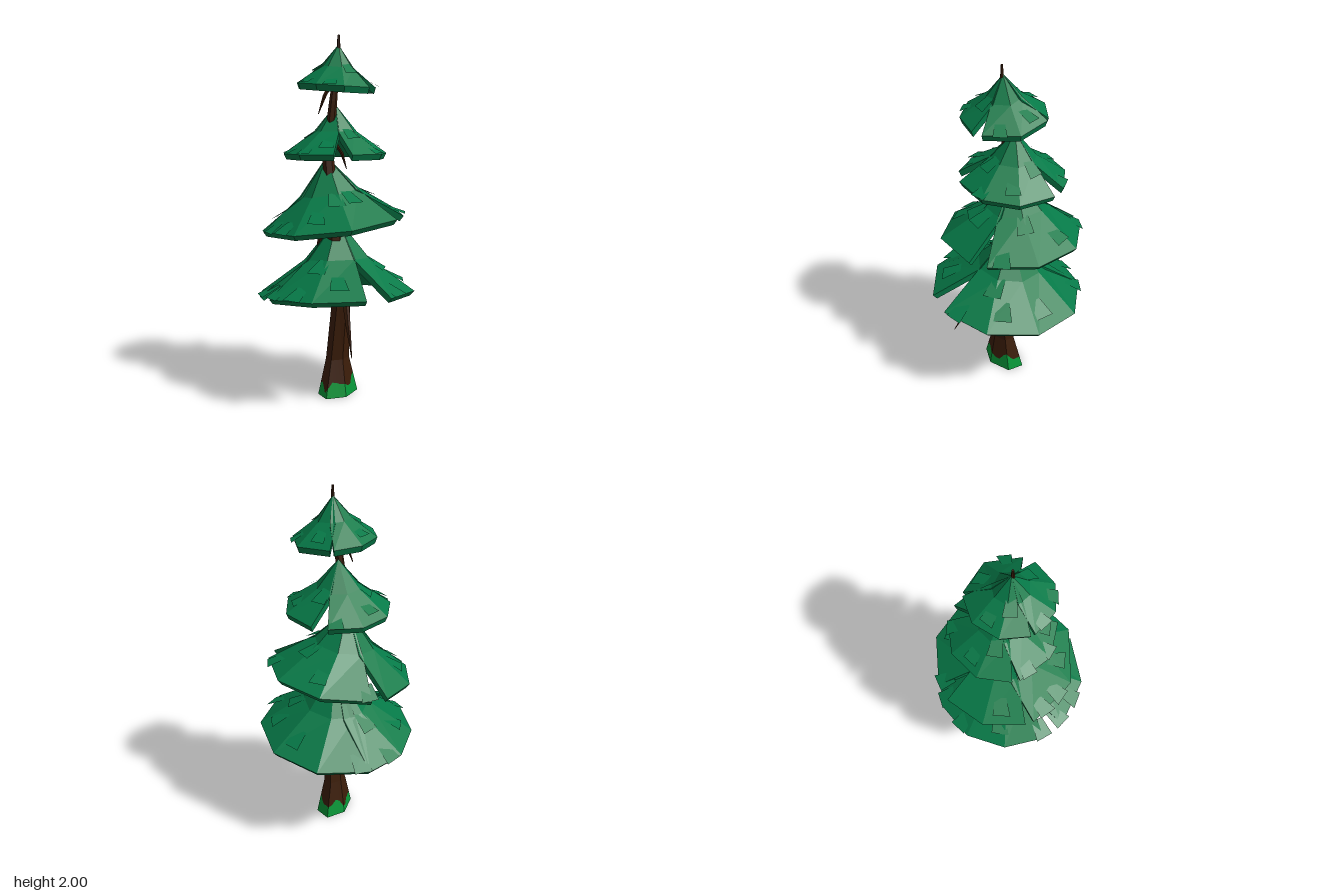
import * as THREE from 'three';

const leaf = new THREE.MeshStandardMaterial({ color: 0x067a48, side: THREE.DoubleSide });
leaf.name = 'needle green';
const bark = new THREE.MeshStandardMaterial({ color: 0x3b1d09, side: THREE.DoubleSide });
bark.name = 'bark brown';
const mossGreen = new THREE.MeshStandardMaterial({ color: 0x069638, side: THREE.DoubleSide });
mossGreen.name = 'moss green';

const V = (x, y, z) => new THREE.Vector3(x, y, z);
const rad = THREE.MathUtils.degToRad;

// Collects flat faces, skipping those that collapse to a line
class Faces {
  constructor() { this.pos = []; }
  tri(a, b, c) {
    const n = b.clone().sub(a).cross(c.clone().sub(a));
    if (n.length() > 1e-9) for (const p of [a, b, c]) this.pos.push(p.x, p.y, p.z);
  }
  quad(a, b, c, d) { this.tri(a, b, c); this.tri(a, c, d); }
  mesh(name, material) {
    const g = new THREE.BufferGeometry();
    g.setAttribute('position', new THREE.Float32BufferAttribute(this.pos, 3));
    g.computeVertexNormals();
    const m = new THREE.Mesh(g, material);
    m.name = name;
    return m;
  }
}

// Corner of a ring [x, y, z, radius, stretch along the x = -z diagonal]
const ringPoint = ([x, y, z, r, stretch = 0], i, sides) => {
  const a = (i / sides) * Math.PI * 2, c = Math.cos(a), s = Math.sin(a);
  const d = (stretch * (c - s)) / 2;
  return V(x + r * c + d, y, z + r * s - d);
};

// Faceted tapering limb through rings listed bottom to top, open below
function limb(name, rings, sides) {
  const f = new Faces();
  const last = rings[rings.length - 1];
  for (let i = 0; i < sides; i++) {
    for (let j = 0; j + 1 < rings.length; j++) {
      f.quad(ringPoint(rings[j], i, sides), ringPoint(rings[j + 1], i, sides),
        ringPoint(rings[j + 1], i + 1, sides), ringPoint(rings[j], i + 1, sides));
    }
    f.tri(V(last[0], last[1], last[2]), ringPoint(last, i + 1, sides), ringPoint(last, i, sides));
  }
  return f.mesh(name, bark);
}

const SIDES = 6;
const footRing = [0.008, 0, 0.02, 0.092, 0.045];
const trunkRings = [
  [0.005, 0.21, 0.025, 0.056, 0.02], [0.025, 0.6, 0.06, 0.05],
  [-0.015, 0.95, 0.035, 0.042], [-0.045, 1.35, -0.01, 0.032], [-0.018, 1.65, 0.012, 0.022],
  [0.01, 1.92, 0.025, 0.011], [0.01, 2, 0.025, 0.006],
];

// Flared foot of the trunk, split at a ragged line into moss and bark
function foot() {
  const moss = new Faces(), wood = new Faces();
  const per = 4, columns = SIDES * per;
  const top = trunkRings[0][1];
  const height = k => {
    const a = (k / columns) * Math.PI * 2;
    return 0.068 + 0.022 * Math.cos(4 * a) + 0.012 * Math.cos(a) + 0.012 * Math.sin(7 * a + 1);
  };
  const at = (k, y) => {
    const i = Math.floor(k / per), u = (k % per) / per;
    const edge = ring => ringPoint(ring, i, SIDES).lerp(ringPoint(ring, i + 1, SIDES), u);
    return edge(footRing).lerp(edge(trunkRings[0]), y / top);
  };
  for (let k = 0; k < columns; k++) {
    const h = height(k), next = height(k + 1);
    moss.quad(at(k, 0), at(k, h), at(k + 1, next), at(k + 1, 0));
    wood.quad(at(k, h), at(k, top), at(k + 1, top), at(k + 1, next));
  }
  return [moss.mesh('mossAtBase', mossGreen), wood.mesh('trunkFoot', bark)];
}

// Each tier: tip, rim centre and radius, tilt in x and z, lobes as [start, end, facets],
// and angles of needle tufts at the rim and higher up. Angles run from +x towards +z.
const bottomTier = {
  name: 'bottomTier', tip: [0.01, 1.0, -0.02], rim: [0, 0.59, 0.005, 0.44], tilt: [0.02, 0.1],
  lobes: [[-98, 55, 4], [75, 150, 2], [168, 262, 3]],
  rimTufts: [-92, -121, 46, 127, 150, 166], highTufts: [8, 20, 95, 118, 205, 240, -30],
};
const lowerMiddleTier = {
  name: 'lowerMiddleTier', tip: [-0.05, 1.345, -0.045], rim: [-0.012, 0.987, -0.025, 0.398], tilt: [0.12, 0],
  lobes: [[-98, 22, 3], [37, 172, 3], [179, 248, 2]],
  rimTufts: [12, 140, 160, 262], highTufts: [112, 60, 200, 85, -50, -15],
};
const upperMiddleTier = {
  name: 'upperMiddleTier', tip: [0, 1.63, -0.04], rim: [0, 1.365, -0.03, 0.288], tilt: [0, 0.03],
  lobes: [[-45, 78, 3], [98, 178, 2], [186, 297, 3]],
  rimTufts: [-70, 40, 135, 165], highTufts: [5, 60, 240, 205, 110, -40],
};
const topTier = {
  name: 'topTier', tip: [0.01, 1.95, 0.02], rim: [0.006, 1.735, 0.013, 0.225], tilt: [-0.06, -0.03],
  lobes: [[-68, 32, 2], [48, 165, 3], [171, 287, 3]],
  rimTufts: [10, 105, 150], highTufts: [235, 62, -45, 195],
};
const MID_R = 0.42, MID_DROP = 0.55, MID_SPREAD = 11;

// Point on the flared slope, t = 0 at the tip and 1 at the rim
function slope(tier, angle, t) {
  const [cx, cy, cz, r] = tier.rim;
  const x = cx + r * Math.cos(rad(angle)), z = cz + r * Math.sin(rad(angle));
  const rim = V(x, cy + tier.tilt[0] * x + tier.tilt[1] * z, z);
  const tip = V(...tier.tip);
  const mid = tip.clone().lerp(rim, MID_R);
  mid.y = THREE.MathUtils.lerp(tip.y, rim.y, MID_DROP);
  return t < MID_R ? tip.lerp(mid, t / MID_R) : mid.lerp(rim, (t - MID_R) / (1 - MID_R));
}

// Thick faceted lobe, wider at its middle so that the notches close halfway up
function lobe(tier, [start, end, n]) {
  const f = new Faces();
  const sections = [];
  for (let i = 0; i <= n; i++) {
    const u = i / n;
    const a = start + (end - start) * u;
    const midAngle = a + (2 * u - 1) * MID_SPREAD;
    const at = t => slope(tier, t === MID_R ? midAngle : a, t);
    const top = [0, MID_R, 1].map(at);
    const under = [0.95, MID_R, 0].map(t => at(t).add(V(0, -0.042, 0)));
    sections.push([...top, ...under]);
  }
  for (let i = 0; i < n; i++) {
    const s = sections[i], e = sections[i + 1];
    for (let j = 0; j < 5; j++) f.quad(s[j], e[j], e[j + 1], s[j + 1]);
  }
  const s = sections[0], e = sections[n];
  f.quad(s[0], s[1], s[4], s[5]);
  f.quad(s[1], s[2], s[3], s[4]);
  f.quad(e[5], e[4], e[1], e[0]);
  f.quad(e[4], e[3], e[2], e[1]);
  return f.mesh('foliageLobe', leaf);
}

// Small needle tufts lying on the slope with slightly lifted outer ends
function tufts(tier) {
  const f = new Faces();
  const size = 0.045 + tier.rim[3] * 0.13;
  const add = (angle, reach, skew) => {
    const outer = slope(tier, angle, reach).add(V(0, 0.006, 0));
    const inner = slope(tier, angle, reach - size / tier.rim[3]).add(V(0, -0.014, 0));
    const side = V(-Math.sin(rad(angle)), 0, Math.cos(rad(angle))).multiplyScalar(size / 2);
    const along = (p, w) => p.clone().addScaledVector(side, w);
    f.quad(along(inner, -0.65), along(inner, 0.65), along(outer, 1 + skew), along(outer, -1 + skew));
  };
  tier.rimTufts.forEach((angle, k) => add(angle, 1, k % 2 ? 0.2 : -0.2));
  tier.highTufts.forEach((angle, k) => add(angle, k % 2 ? 0.62 : 0.85, k % 2 ? 0.2 : -0.2));
  return f.mesh('needleTufts', leaf);
}

export function createModel() {
  const tree = new THREE.Group();
  tree.name = 'pineTree';
  tree.add(limb('trunk', trunkRings, SIDES), ...foot());

  // Bare drooping branches, tip first
  const branches = [
    [[0.05, 0.3, 0.32, 0.002], [0.04, 0.45, 0.24, 0.013], [0.03, 0.68, 0.1, 0.024]],
    [[-0.11, 0.8, -0.02, 0.002], [-0.09, 0.9, 0, 0.014], [-0.02, 1.02, 0.03, 0.018]],
    [[0.07, 1.27, -0.11, 0.002], [0.04, 1.36, -0.08, 0.01], [-0.03, 1.46, -0.01, 0.014]],
    [[-0.1, 1.58, 0.025, 0.002], [-0.065, 1.68, 0.025, 0.011], [-0.01, 1.78, 0.02, 0.013]],
  ];
  branches.forEach(b => tree.add(limb('bareBranch', b, 4)));

  for (const tier of [bottomTier, lowerMiddleTier, upperMiddleTier, topTier]) {
    const group = new THREE.Group();
    group.name = tier.name;
    tier.lobes.forEach(range => group.add(lobe(tier, range)));
    group.add(tufts(tier));
    tree.add(group);
  }
  return tree;
}
